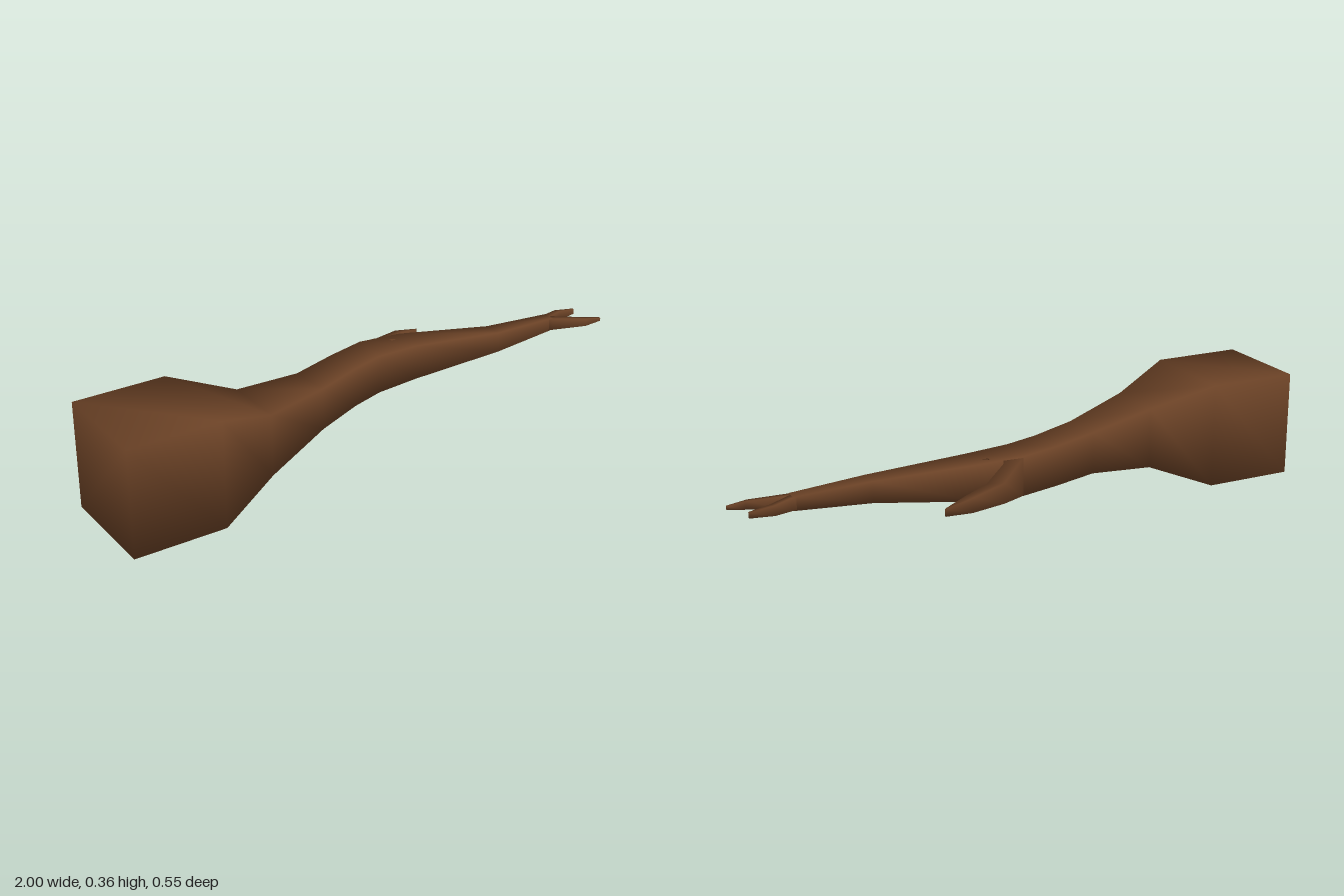
import * as THREE from 'three';

const bark = new THREE.MeshStandardMaterial({ color: 0x6b4226, roughness: 0.9 });

// Skins four-sided sections into one smooth limb.
// Section: [back x, back z, front x, front z, bottom y, top y]
function limb(name, sections) {
  const pos = [], idx = [];
  for (const [bx, bz, fx, fz, y0, y1] of sections) {
    pos.push(bx, y0, bz, bx, y1, bz, fx, y1, fz, fx, y0, fz);
  }
  const last = (sections.length - 1) * 4;
  for (let s = 0; s < last; s += 4) {
    for (let i = 0; i < 4; i++) {
      const a = s + i, b = s + (i + 1) % 4;
      idx.push(a, b, b + 4, a, b + 4, a + 4);
    }
  }
  // end caps
  idx.push(0, 2, 1, 0, 3, 2);
  idx.push(last, last + 1, last + 2, last, last + 2, last + 3);

  // make the winding face outward whatever the direction of the limb
  const area = (i) => new THREE.Vector3().fromArray(pos, i * 3);
  let volume = 0;
  for (let i = 0; i < idx.length; i += 3) {
    volume += area(idx[i]).dot(area(idx[i + 1]).cross(area(idx[i + 2])));
  }
  if (volume < 0) idx.reverse();

  const geo = new THREE.BufferGeometry();
  geo.setAttribute('position', new THREE.Float32BufferAttribute(pos, 3));
  geo.setIndex(idx);
  geo.computeVertexNormals();
  const mesh = new THREE.Mesh(geo, bark);
  mesh.name = name;
  return mesh;
}

export function createModel() {
  const group = new THREE.Group();
  group.name = 'branch';

  // thick butt narrowing into the long bent stem
  group.add(limb('stem', [
    [-1, -0.085, -1, 0.275, 0, 0.362],
    [-0.69, -0.085, -0.69, 0.275, 0, 0.362],
    [-0.48, -0.012, -0.48, 0.198, 0.078, 0.288],
    [-0.23, -0.06, -0.22, 0.082, 0.112, 0.256],
    [-0.06, -0.12, -0.05, 0.012, 0.116, 0.252],
    [0.08, -0.157, 0.07, -0.024, 0.117, 0.251],
    [0.235, -0.147, 0.225, -0.032, 0.122, 0.245],
    [0.56, -0.072, 0.56, -0.004, 0.147, 0.219],
    [0.815, -0.06, 0.815, -0.018, 0.161, 0.206],
  ]));

  // side twig growing from the back of the bend
  group.add(limb('sideTwig', [
    [0.03, -0.12, 0.2, -0.11, 0.12, 0.247],
    [0.08, -0.158, 0.14, -0.158, 0.118, 0.247],
    [0.18, -0.23, 0.235, -0.213, 0.134, 0.203],
    [0.31, -0.274, 0.325, -0.248, 0.141, 0.19],
    [0.405, -0.277, 0.4, -0.272, 0.146, 0.172],
  ]));

  // forked end
  group.add(limb('backTip', [
    [0.79, -0.06, 0.79, -0.025, 0.162, 0.205],
    [0.82, -0.061, 0.82, -0.036, 0.162, 0.205],
    [0.88, -0.081, 0.888, -0.064, 0.164, 0.198],
    [0.96, -0.076, 0.96, -0.069, 0.168, 0.187],
  ]));
  group.add(limb('frontTip', [
    [0.79, -0.055, 0.79, -0.018, 0.162, 0.205],
    [0.83, -0.034, 0.815, -0.016, 0.161, 0.204],
    [0.942, 0.014, 0.935, 0.027, 0.162, 0.19],
    [1, 0.023, 1, 0.032, 0.168, 0.179],
  ]));
  return group;
}
